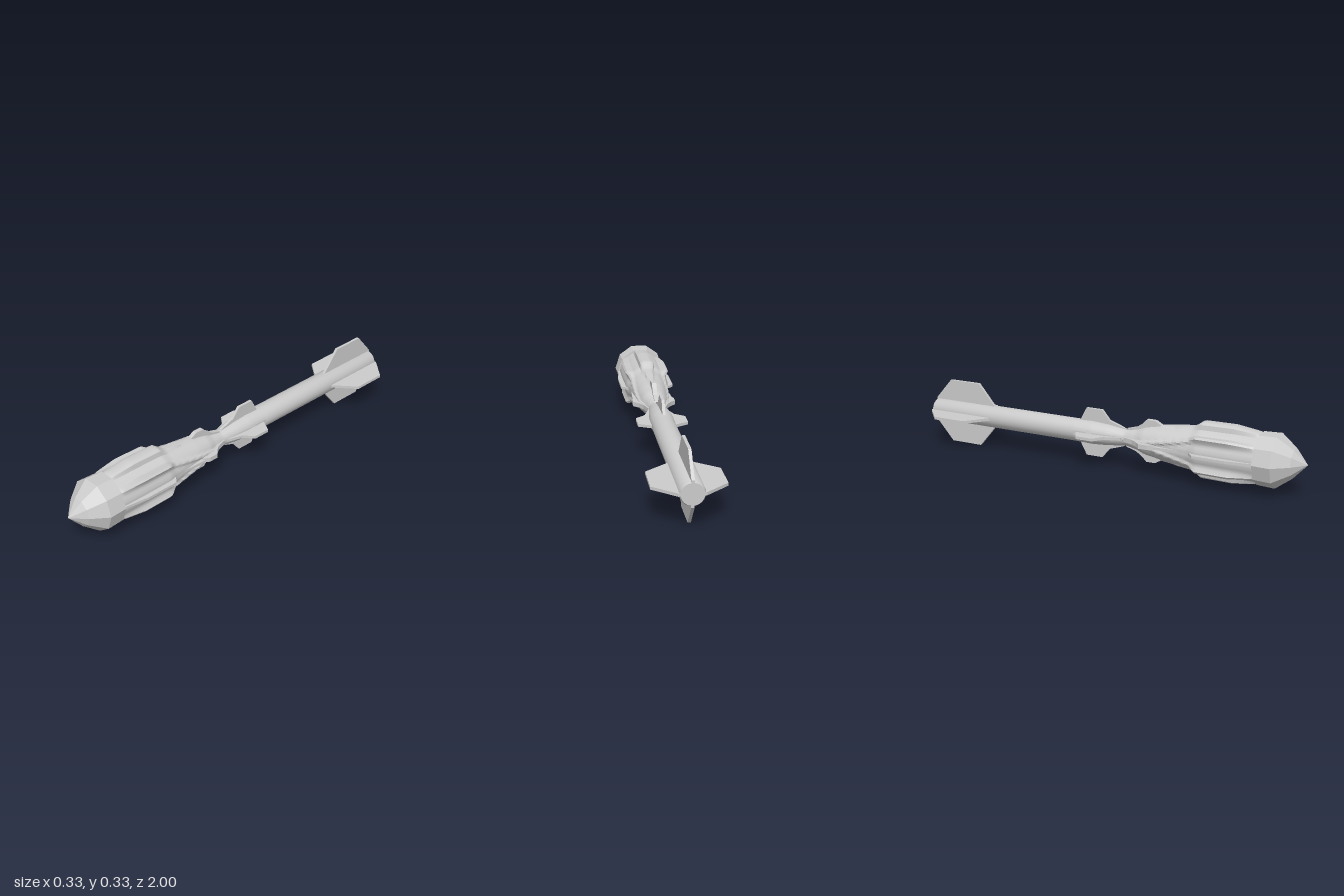
import * as THREE from 'three';
import { toCreasedNormals } from 'three/addons/utils/BufferGeometryUtils.js';

const material = new THREE.MeshStandardMaterial({ color: 0xcccccc });
const flatMaterial = new THREE.MeshStandardMaterial({ color: 0xcccccc, flatShading: true });

// linear interpolation through [position, value] pairs
function curve(points, s) {
  if (s <= points[0][0]) return points[0][1];
  for (let i = 1; i < points.length; i++) {
    const [s0, v0] = points[i - 1], [s1, v1] = points[i];
    if (s <= s1) return v0 + (v1 - v0) * (s - s0) / (s1 - s0);
  }
  return points[points.length - 1][1];
}

// hull radius between the ribs, along the axis
const valley = [[-0.17, 0.056], [-0.08, 0.058], [0, 0.053], [0.1, 0.04], [0.16, 0.052], [0.2, 0.067],
  [0.28, 0.08], [0.45, 0.098], [0.49, 0.11], [0.65, 0.113], [0.79, 0.112]];
// height of the ribs above the hull
const ribHeight = [[0.08, 0], [0.13, 0.007], [0.3, 0.009], [0.455, 0.01], [0.495, 0.027],
  [0.65, 0.026], [0.765, 0.012], [0.78, 0.004]];
// the wide ribs narrow to a point; the diagonal ribs converge on the sides
const wideRib = [[0.2, 0.03], [0.45, 0.24], [0.79, 0.25]];
const diagonalAngle = [[0.08, 0], [0.2, 0.1], [0.48, 0.66], [0.79, 0.66]];

function plateau(distance, halfWidth) {
  return THREE.MathUtils.clamp((halfWidth + 0.09 - distance) / 0.09, 0, 1);
}

function hullRadius(s, angle) {
  // fold the angle into one quadrant: 0 is the side, PI / 2 the top or bottom
  const a = Math.asin(Math.min(1, Math.abs(Math.sin(angle))));
  const top = plateau(Math.PI / 2 - a, curve(wideRib, s));
  const diagonal = plateau(Math.abs(a - curve(diagonalAngle, s)), 0.07);
  return curve(valley, s) + curve(ribHeight, s) * Math.max(top, diagonal);
}

// ribbed hull lofted from rings
function hullGeometry() {
  const rings = 90, sides = 72, position = [], index = [];
  for (let i = 0; i <= rings; i++) {
    const s = -0.17 + 0.96 * i / rings;
    for (let j = 0; j < sides; j++) {
      const angle = j / sides * Math.PI * 2;
      const r = hullRadius(s, angle);
      position.push(r * Math.cos(angle), s, r * Math.sin(angle));
      if (i === rings) continue;
      const a = i * sides + j, b = i * sides + (j + 1) % sides;
      index.push(a, a + sides, b, b, a + sides, b + sides);
    }
  }
  const geometry = new THREE.BufferGeometry();
  geometry.setAttribute('position', new THREE.Float32BufferAttribute(position, 3));
  geometry.setIndex(index);
  return toCreasedNormals(geometry, 0.6);
}

// flat plate whose outline is given as [radius, axial position]
function plateGeometry(outline, thickness) {
  const shape = new THREE.Shape(outline.map(([r, s]) => new THREE.Vector2(r, s)));
  return new THREE.ExtrudeGeometry(shape, { depth: thickness, bevelEnabled: false })
    .translate(0, 0, -thickness / 2);
}

export function createModel() {
  const model = new THREE.Group();
  model.name = 'missile';
  // parts are built along y, then laid down so that the nose faces +z
  const body = new THREE.Group();
  body.name = 'body';
  body.rotation.x = Math.PI / 2;
  body.position.y = 0.163;
  model.add(body);

  const add = (name, geometry, mat = material) => {
    const mesh = new THREE.Mesh(geometry, mat);
    mesh.name = name;
    body.add(mesh);
    return mesh;
  };
  const addPlates = (name, outline, thickness, angles) => {
    const geometry = plateGeometry(outline, thickness);
    angles.forEach((angle, i) => { add(name + (i + 1), geometry).rotation.y = angle; });
  };
  const quarters = [0, 1, 2, 3].map(i => i * Math.PI / 2);

  // ten-sided nose cone and collar
  const nose = [[0, 0.775], [0.124, 0.775], [0.128, 0.862], [0.07, 0.938], [0, 1]]
    .map(([r, s]) => new THREE.Vector2(r, s));
  add('noseCone', new THREE.LatheGeometry(nose, 10).rotateY(Math.PI / 2), flatMaterial);

  add('ribbedHull', hullGeometry());

  // tail tube
  const tube = [[0, -1], [0.05, -1], [0.056, -0.99], [0.056, -0.12]]
    .map(([r, s]) => new THREE.Vector2(r, s));
  add('tailTube', toCreasedNormals(new THREE.LatheGeometry(tube, 24), 0.6));

  // tail fins
  addPlates('tailFin', [[0.03, -1], [0.06, -1], [0.163, -0.91], [0.163, -0.74], [0.055, -0.65], [0.03, -0.65]],
    0.014, quarters);

  // small fins behind the waist
  addPlates('middleFin', [[0.03, -0.16], [0.055, -0.155], [0.12, -0.12], [0.12, -0.035], [0.072, 0.005],
    [0.045, 0.085], [0.03, 0.085]], 0.014, quarters);

  // lugs ahead of the waist
  addPlates('waistLug', [[0.03, 0.09], [0.045, 0.1], [0.06, 0.15], [0.08, 0.18], [0.105, 0.205],
    [0.105, 0.25], [0.088, 0.28], [0.03, 0.28]], 0.022, quarters);

  // thin ribs along both sides of the warhead
  addPlates('sideRib', [[0.08, 0.28], [0.1, 0.28], [0.09, 0.45], [0.136, 0.49], [0.136, 0.65],
    [0.118, 0.78], [0.08, 0.78]], 0.012, [0, Math.PI]);

  return model;
}
